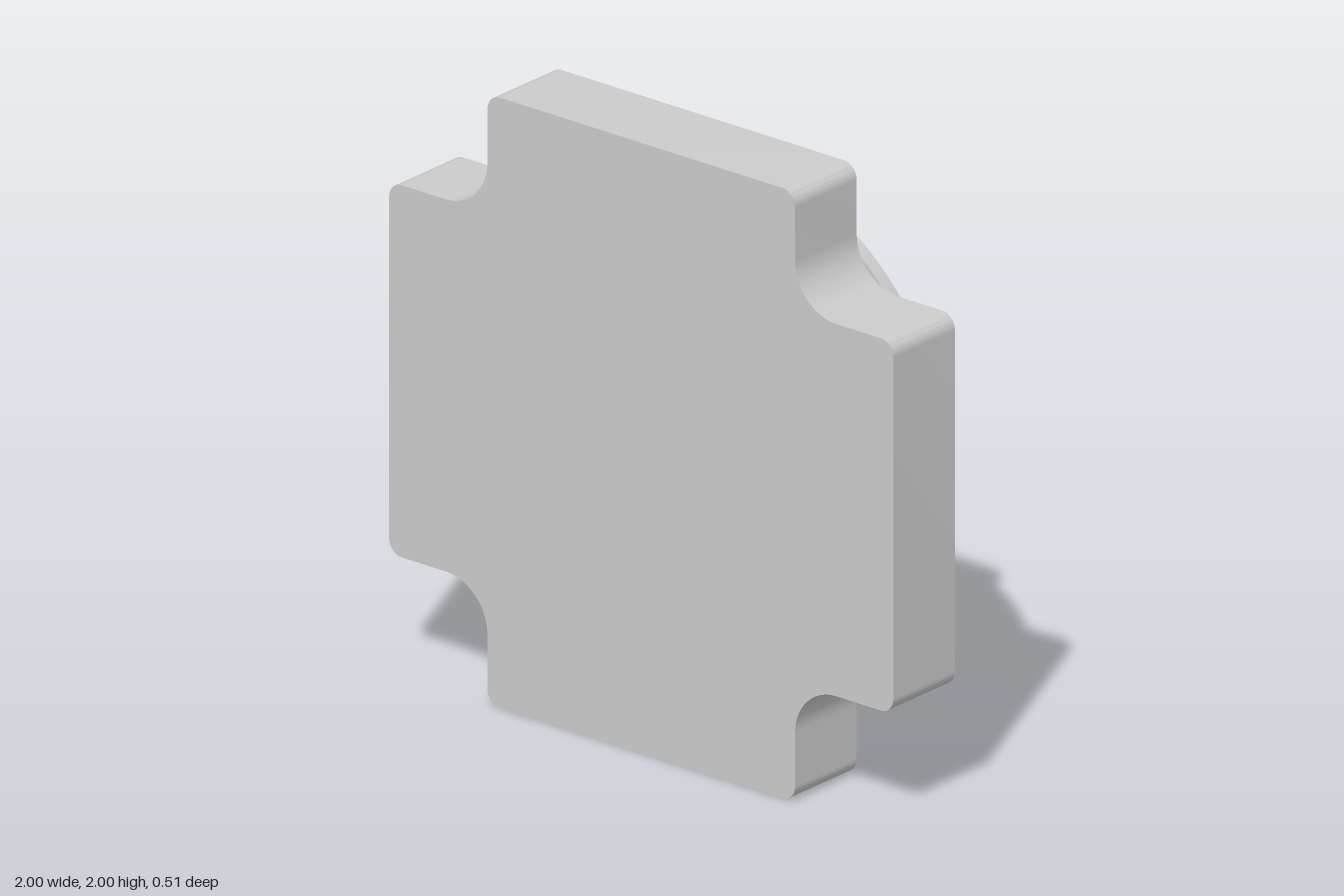
import * as THREE from 'three';
import { toCreasedNormals } from 'three/addons/utils/BufferGeometryUtils.js';

const FRONT = 0.255, BACK = -0.035;      // plate faces
const ARM = 0.61, CORNER = 0.05, FILLET = 0.165;
const HUB_R = 0.775, HOLE_R = 0.085, HOLE_CIRCLE = 0.93;
const SEGMENTS = 96, HOLE_SEGMENTS = 32;

const material = new THREE.MeshStandardMaterial({ color: 0xcccccc });

function addMesh(parent, name, geometry) {
  const mesh = new THREE.Mesh(geometry, material);
  mesh.name = name;
  parent.add(mesh);
  return mesh;
}

// Cross outline: four arms with rounded tips and filleted inner corners
function crossShape() {
  const shape = new THREE.Shape();
  const q = Math.PI / 2;
  const arc = (x, y, r, from, to, k, clockwise) => {
    const c = new THREE.Vector2(x, y).rotateAround(new THREE.Vector2(), k * q);
    shape.absarc(c.x, c.y, r, from + k * q, to + k * q, clockwise);
  };
  for (let k = 0; k < 4; k++) {
    arc(1 - CORNER, ARM - CORNER, CORNER, 0, q, k, false);
    arc(ARM + FILLET, ARM + FILLET, FILLET, 3 * q, 2 * q, k, true);
    arc(ARM - CORNER, 1 - CORNER, CORNER, 0, q, k, false);
  }
  shape.closePath();
  return shape;
}

function circlePath(x, y, r) {
  return new THREE.Path().absarc(x, y, r, 0, Math.PI * 2, true);
}

// Side wall swept along the outline
function wallGeometry(points) {
  const positions = [];
  points.forEach((a, i) => {
    const b = points[(i + 1) % points.length];
    if (a.distanceTo(b) < 1e-6) return;
    positions.push(a.x, a.y, BACK, b.x, b.y, BACK, b.x, b.y, FRONT);
    positions.push(a.x, a.y, BACK, b.x, b.y, FRONT, a.x, a.y, FRONT);
  });
  const geometry = new THREE.BufferGeometry();
  geometry.setAttribute('position', new THREE.Float32BufferAttribute(positions, 3));
  return toCreasedNormals(geometry, 0.6);
}

// Turned part around the z axis, profile given as [radius, z]
function turned(profile, segments) {
  const points = profile.map(([r, z]) => new THREE.Vector2(r, z));
  const geometry = new THREE.LatheGeometry(points, segments).rotateX(Math.PI / 2);
  return toCreasedNormals(geometry, 0.5);
}

export function createModel() {
  const model = new THREE.Group();
  model.name = 'flangeCover';
  const body = new THREE.Group();
  body.name = 'body';
  body.position.y = 1;
  model.add(body);

  // Bolt holes on a circle, at 30 degrees and every quarter turn
  const holes = [0, 1, 2, 3].map((k) => {
    const a = Math.PI / 6 + k * Math.PI / 2;
    return [HOLE_CIRCLE * Math.cos(a), HOLE_CIRCLE * Math.sin(a)];
  });

  // Cross-shaped plate
  const plate = new THREE.Group();
  plate.name = 'plate';
  body.add(plate);
  addMesh(plate, 'plateFront', new THREE.ShapeGeometry(crossShape(), 12).translate(0, 0, FRONT));
  addMesh(plate, 'plateSides', wallGeometry(crossShape().getPoints(12)));

  // Back face is turned round, so its hole positions are mirrored in x
  const backShape = crossShape();
  backShape.holes.push(circlePath(0, 0, HUB_R));
  holes.forEach(([x, y]) => backShape.holes.push(circlePath(-x, y, HOLE_R)));
  addMesh(plate, 'plateBack',
    new THREE.ShapeGeometry(backShape, 32).rotateY(Math.PI).translate(0, 0, BACK));

  // Blind bolt holes
  const holeGeometry = turned([[0, 0.195], [HOLE_R, 0.195], [HOLE_R, BACK]], HOLE_SEGMENTS);
  holes.forEach(([x, y]) => addMesh(plate, 'boltHole', holeGeometry).position.set(x, y, 0));

  // Grooved hub with chamfered, stepped bore
  addMesh(body, 'hub', turned([
    [0, 0.08], [0.24, 0.08], [0.24, -0.018], [0.385, -0.018], [0.385, -0.23],
    [0.412, -0.255], [HUB_R, -0.255], [HUB_R, -0.208], [0.7, -0.208],
    [0.7, -0.082], [HUB_R, -0.082], [HUB_R, BACK],
  ], SEGMENTS));

  return model;
}
